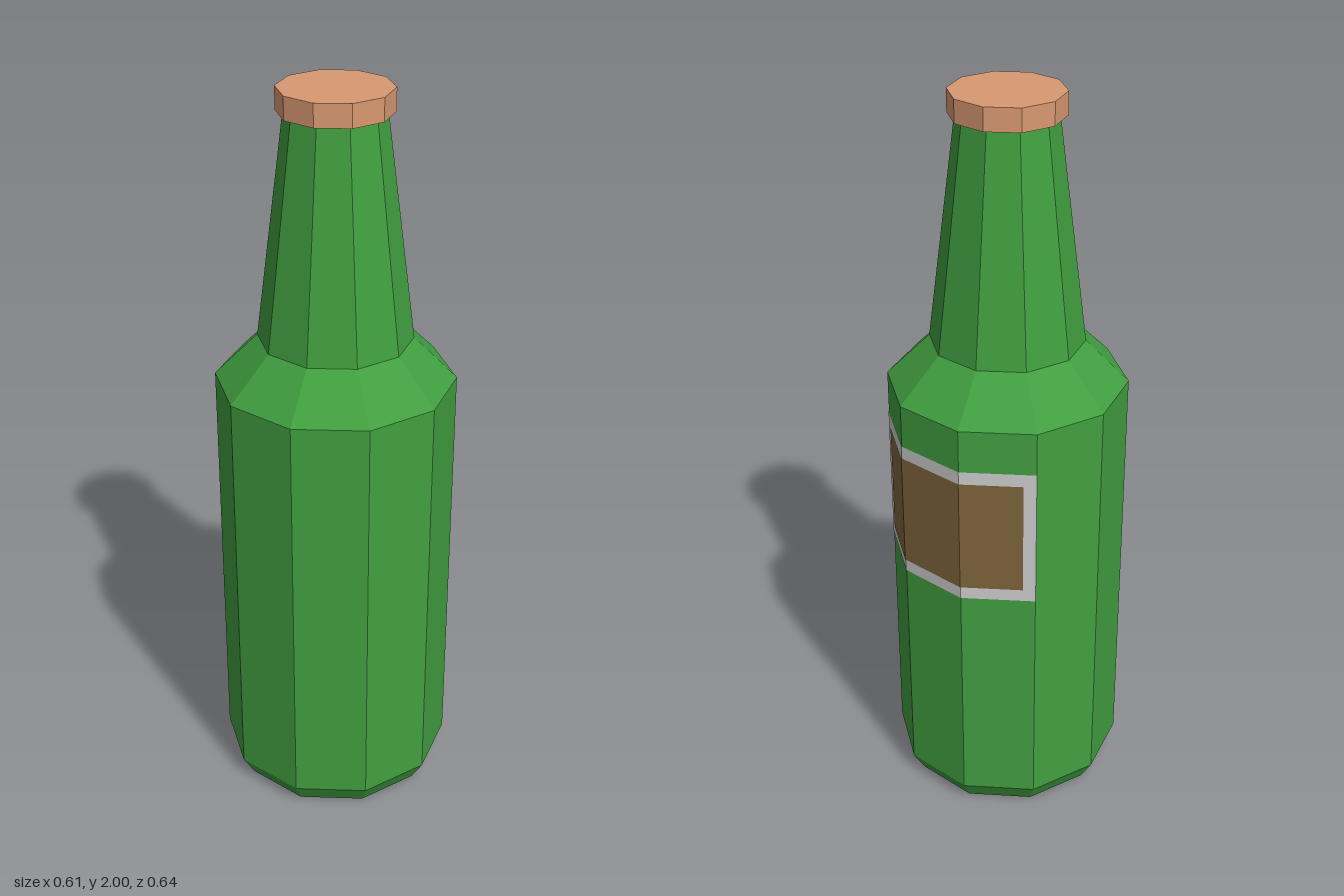
import * as THREE from 'three';

const SIDES = 10;
const BODY_RADIUS = 0.32;

const paint = (color) => new THREE.MeshStandardMaterial({ color, flatShading: true });

// Ten-sided solid turned from [radius, height] points, listed bottom to top
function turned(name, profile, material) {
  const points = profile.map(([r, y]) => new THREE.Vector2(r, y));
  const mesh = new THREE.Mesh(new THREE.LatheGeometry(points, SIDES), material);
  mesh.name = name;
  return mesh;
}

// Strip wrapped over three body faces on the +x side; inset trims its two ends
function wrappedStrip(name, y0, y1, inset, lift, material) {
  const r = BODY_RADIUS + lift;
  const path = [1, 2, 3, 4].map((i) => {
    const a = (i / SIDES) * Math.PI * 2;
    return new THREE.Vector2(r * Math.sin(a), r * Math.cos(a));
  });
  const start = path[0].clone().lerp(path[1], inset);
  const end = path[3].clone().lerp(path[2], inset);
  path[0] = start;
  path[3] = end;

  const positions = [];
  for (let i = 0; i < 3; i++) {
    const a = path[i], b = path[i + 1];
    positions.push(a.x, y0, a.y, b.x, y0, b.y, b.x, y1, b.y);
    positions.push(a.x, y0, a.y, b.x, y1, b.y, a.x, y1, a.y);
  }
  const geometry = new THREE.BufferGeometry();
  geometry.setAttribute('position', new THREE.Float32BufferAttribute(positions, 3));
  geometry.computeVertexNormals();
  const mesh = new THREE.Mesh(geometry, material);
  mesh.name = name;
  return mesh;
}

export function createModel() {
  const model = new THREE.Group();
  model.name = 'bottle';

  // Glass: bevelled foot, straight body, shoulder and tapering neck
  model.add(turned('glass', [
    [0, 0], [0.285, 0], [BODY_RADIUS, 0.06], [BODY_RADIUS, 1.225],
    [0.205, 1.34], [0.129, 1.94],
  ], paint(0x419f40)));

  // Cap, slightly wider than the neck
  model.add(turned('cap', [[0, 1.94], [0.148, 1.94], [0.148, 2], [0, 2]], paint(0xd89972)));

  // Label: pale border with a brown panel
  const label = new THREE.Group();
  label.name = 'label';
  label.add(wrappedStrip('labelBorder', 0.72, 1.108, 0, 0.0015, paint(0xcccccc)));
  label.add(wrappedStrip('labelPanel', 0.755, 1.073, 0.17, 0.003, paint(0x7e643c)));
  model.add(label);

  return model;
}
